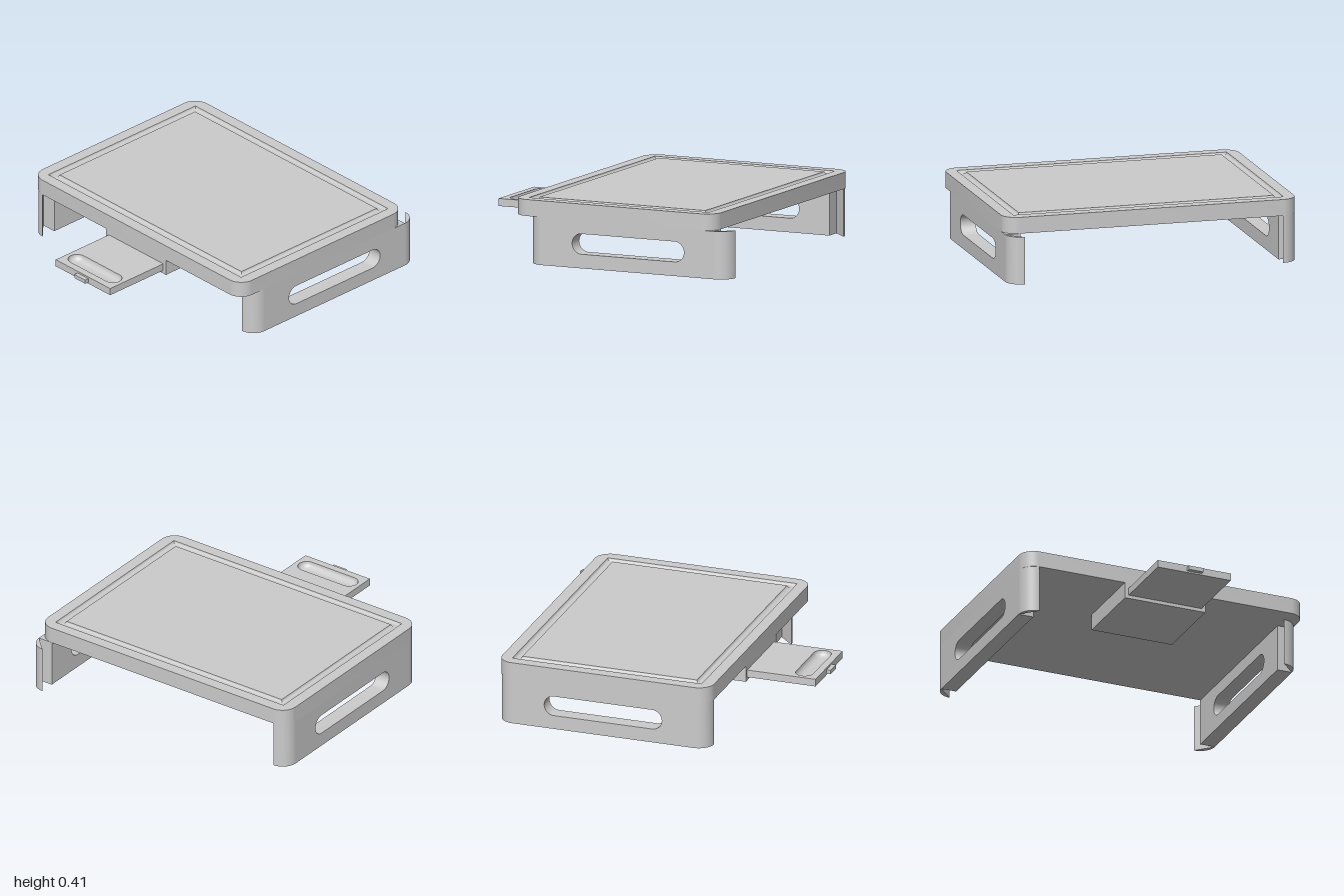
import * as THREE from 'three';
import { mergeGeometries, toCreasedNormals } from 'three/addons/utils/BufferGeometryUtils.js';

const material = new THREE.MeshStandardMaterial({ color: 0xcccccc });
const doubleSided = new THREE.MeshStandardMaterial({ color: 0xcccccc, side: THREE.DoubleSide });

function add(parent, name, geometry, mat = material) {
  const mesh = new THREE.Mesh(geometry, mat);
  mesh.name = name;
  parent.add(mesh);
  return mesh;
}

// Box given by its limits on each axis
function block(x0, x1, y0, y1, z0, z1) {
  return new THREE.BoxGeometry(x1 - x0, y1 - y0, z1 - z0)
    .translate((x0 + x1) / 2, (y0 + y1) / 2, (z0 + z1) / 2);
}

// Plan outline (shape x, y = model x, z) raised from y0 to y1
function slab(shape, y0, y1) {
  const g = new THREE.ExtrudeGeometry(shape, { depth: y1 - y0, bevelEnabled: false, curveSegments: 16 });
  return toCreasedNormals(g.rotateX(Math.PI / 2).translate(0, y1, 0), 0.5);
}

function roundedRect(hx, z0, z1, r) {
  const s = new THREE.Shape();
  s.absarc(hx - r, z1 - r, r, 0, Math.PI / 2);
  s.absarc(-hx + r, z1 - r, r, Math.PI / 2, Math.PI);
  s.absarc(-hx + r, z0 + r, r, Math.PI, Math.PI * 1.5);
  s.absarc(hx - r, z0 + r, r, Math.PI * 1.5, Math.PI * 2);
  s.closePath();
  return s;
}

// Points of a rectangle or slot outline, counter-clockwise in (x, z)
const rectPoints = (hx, z0, z1) => [[hx, z0], [hx, z1], [-hx, z1], [-hx, z0]];
function slotPoints(half, r, cx, cz, n = 16) {
  const pts = [];
  for (const side of [1, -1]) {
    for (let i = 0; i <= n; i++) {
      const a = -Math.PI / 2 + (Math.PI * i) / n;
      pts.push([cx + side * (half + r * Math.cos(a)), cz + side * r * Math.sin(a)]);
    }
  }
  return pts;
}
const toPath = (pts) => new THREE.Path(pts.map(([x, y]) => new THREE.Vector2(x, y)));

// Skin between closed rings, each { y, pts }, from the outside inwards
function loft(rings) {
  const n = rings[0].pts.length;
  const pos = [], index = [];
  rings.forEach(({ y, pts }) => pts.forEach(([x, z]) => pos.push(x, y, z)));
  for (let i = 0; i < rings.length - 1; i++) {
    for (let j = 0; j < n; j++) {
      const a = i * n + j, b = i * n + (j + 1) % n;
      index.push(a, a + n, b, b, a + n, b + n);
    }
  }
  const g = new THREE.BufferGeometry();
  g.setAttribute('position', new THREE.Float32BufferAttribute(pos, 3));
  g.setIndex(index);
  return toCreasedNormals(g, 0.6);
}

// Side support with hand slot; x runs from 0 (inside) to t (outside)
function legGeometry() {
  const t = 0.1, h = 0.305, half = 0.605;
  const side = new THREE.Shape();
  side.moveTo(-half, 0).lineTo(half, 0).lineTo(half, h).lineTo(-half, h).closePath();
  side.holes.push(toPath(slotPoints(0.328, 0.065, 0, 0.155)));
  const wall = new THREE.ExtrudeGeometry(side, { depth: t, bevelEnabled: false }).rotateY(Math.PI / 2);
  const parts = [toCreasedNormals(wall, 0.5)];
  for (const s of [1, -1]) {
    const quarter = new THREE.Shape();
    quarter.moveTo(0, s * half);
    quarter.absarc(0, s * half, t, 0, s * Math.PI / 2, s < 0);
    quarter.closePath();
    parts.push(slab(quarter, 0, h));
  }
  return mergeGeometries(parts);
}

export function createModel() {
  const model = new THREE.Group();
  model.name = 'cuttingBoardStand';

  // Board with a juice groove running round the top
  const board = new THREE.Group();
  board.name = 'board';
  model.add(board);
  const y0 = 0.305, y1 = 0.41, gx = 0.885, gz0 = -0.825, gz1 = 0.44, gw = 0.05, depth = 0.018;
  const rim = roundedRect(0.96, -0.9, 0.515, 0.1);
  rim.holes.push(toPath(rectPoints(gx, gz0, gz1)));
  add(board, 'boardRim', slab(rim, y0, y1));
  add(board, 'boardBase', block(-gx, gx, y0, y1 - depth - 0.004, gz0, gz1));
  add(board, 'boardTop', block(-gx + gw, gx - gw, y0 + 0.05, y1, gz0 + gw, gz1 - gw));
  const grooveRings = [];
  for (let i = 0; i <= 10; i++) {
    const a = (Math.PI * i) / 10, d = (gw / 2) * (1 - Math.cos(a));
    grooveRings.push({ y: y1 - depth * Math.sin(a), pts: rectPoints(gx - d, gz0 + d, gz1 - d) });
  }
  add(board, 'juiceGroove', loft(grooveRings), doubleSided);

  // Side supports; the left one is shifted backwards
  const legGeo = legGeometry();
  add(model, 'leftLeg', legGeo).position.set(0.86, 0, -0.295);
  const right = add(model, 'rightLeg', legGeo);
  right.position.set(-0.86, 0, -0.192);
  right.rotation.y = Math.PI;

  // Housing under the board
  add(model, 'trayHousing', block(-0.275, 0.275, 0.2, 0.305, -0.01, 0.515));

  // Sliding tray with a bowl-shaped finger recess and a small front tab
  const tray = new THREE.Group();
  tray.name = 'tray';
  model.add(tray);
  const top = 0.27, r = 0.04, cz = 0.868;
  const plate = new THREE.Shape();
  plate.moveTo(-0.25, 0.45).lineTo(0.25, 0.45).lineTo(0.25, 0.972).lineTo(-0.25, 0.972).closePath();
  plate.holes.push(toPath(slotPoints(0.164, 0.0575, 0, cz)));
  add(tray, 'trayPlate', slab(plate, 0.222, top));
  add(tray, 'trayUnderside', block(-0.24, 0.24, 0.222, 0.228, 0.46, 0.96));
  const bowl = [];
  for (let i = 0; i <= 8; i++) {
    const a = (Math.PI / 2) * (i / 8);
    bowl.push({ y: top - r * Math.sin(a), pts: slotPoints(0.164, 0.0575 - r * (1 - Math.cos(a)), 0, cz) });
  }
  const floor = bowl[bowl.length - 1];
  bowl.push({ y: floor.y, pts: floor.pts.map(() => [0, cz]) });
  add(tray, 'fingerRecess', loft(bowl), doubleSided);
  add(tray, 'frontTab', block(-0.05, 0.05, 0.232, 0.258, 0.97, 1));

  return model;
}
